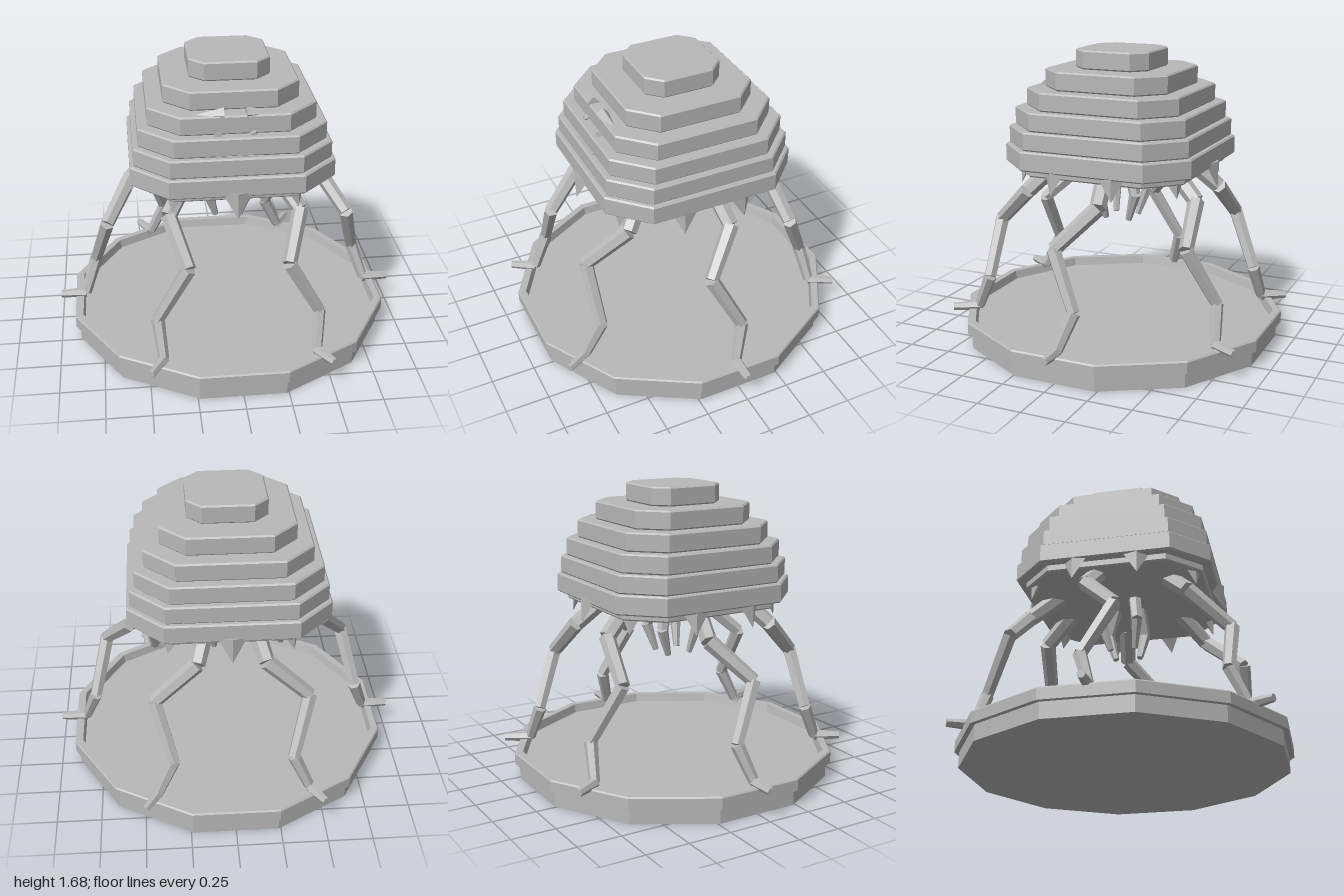
import * as THREE from 'three';

const stone = new THREE.MeshStandardMaterial({ color: 0xb8b8b8, flatShading: true });
stone.name = 'stone grey';

function add(parent, geometry, name) {
  const mesh = new THREE.Mesh(geometry, stone);
  mesh.name = name;
  parent.add(mesh);
  return mesh;
}

// Square slab with cut corners and a fine bevel, from y0 to y1
function slab(half, cut, y0, y1) {
  const b = 0.008, h = half - b, f = half - cut;
  const corners = [[f, -h], [h, -f], [h, f], [f, h], [-f, h], [-h, f], [-h, -f], [-f, -h]];
  const shape = new THREE.Shape(corners.map(([x, y]) => new THREE.Vector2(x, y)));
  const g = new THREE.ExtrudeGeometry(shape, {
    depth: y1 - y0 - 2 * b, bevelEnabled: true, bevelSize: b, bevelThickness: b, bevelSegments: 1,
  });
  g.rotateX(-Math.PI / 2);
  g.translate(0, y0 + b, 0);
  return g;
}

// Tapered rod between two points
function rod(a, b, ra, rb, sides = 6) {
  const dir = b.clone().sub(a);
  const g = new THREE.CylinderGeometry(rb, ra, dir.length(), sides);
  const q = new THREE.Quaternion().setFromUnitVectors(new THREE.Vector3(0, 1, 0), dir.normalize());
  g.applyQuaternion(q);
  const m = a.clone().add(b).multiplyScalar(0.5);
  g.translate(m.x, m.y, m.z);
  return g;
}

// Jointed limb: points are [outward, sideways, height], turned about y, mirrored by side
function limb(parent, name, points, radii, angle, side) {
  const group = new THREE.Group();
  group.name = name;
  const c = Math.cos(angle), s = Math.sin(angle);
  const p = points.map(([r, t, y]) => new THREE.Vector3(side * (r * c + t * s), y, r * s - t * c));
  radii.forEach(([ra, rb], i) => add(group, rod(p[i], p[i + 1], ra, rb), 'segment' + (i + 1)));
  parent.add(group);
}

export function createModel() {
  const model = new THREE.Group();
  model.name = 'walkingHive';

  // Twelve-sided base with a raised rim
  const profile = [[0, 0], [0.917, 0], [0.917, 0.09], [0.944, 0.09], [0.944, 0.152], [0.937, 0.16],
    [0.897, 0.16], [0.887, 0.11], [0, 0.11]].map(([x, y]) => new THREE.Vector2(x, y));
  add(model, new THREE.LatheGeometry(profile, 12, Math.PI / 12), 'base');

  // Stepped body
  add(model, slab(0.51, 0.18, 1.01, 1.06), 'bodyUnderside');
  const tiers = [[0.56, 0.2], [0.54, 0.19], [0.512, 0.185], [0.458, 0.17], [0.37, 0.14], [0.222, 0.083]];
  const levels = [1.05, 1.16, 1.263, 1.368, 1.472, 1.578, 1.684];
  tiers.forEach(([half, cut], i) => add(model, slab(half, cut, levels[i], levels[i + 1]), 'tier' + (i + 1)));

  // Ring of downward teeth around the lower edge
  for (let i = 0; i < 10; i++) {
    const g = new THREE.ConeGeometry(0.08, 0.145, 4);
    g.scale(1, 1, 0.5);
    g.rotateX(Math.PI - 0.25);
    g.translate(0, 1.0, 0.567);
    g.rotateY(i * Math.PI / 5);
    add(model, g, 'tooth');
  }

  // Six legs: three on each side
  const legPoints = [[0.38, 0.07, 1.04], [0.55, 0.1, 0.89], [0.7, -0.09, 0.68],
    [0.78, 0.065, 0.37], [0.85, 0, 0.17], [1.0, 0, 0.168]];
  const legRadii = [[0.05, 0.046], [0.046, 0.04], [0.042, 0.036], [0.038, 0.03], [0.032, 0.022]];
  // Four small feelers hanging below the body
  const feelerPoints = [[0.1, 0, 1.03], [0.15, 0.02, 0.86], [0.1, 0, 0.7]];
  const feelerRadii = [[0.038, 0.034], [0.034, 0.018]];
  for (const side of [1, -1]) {
    const label = side > 0 ? 'left' : 'right';
    [['Front', 1], ['Middle', 0], ['Back', -1]].forEach(([place, k]) =>
      limb(model, label + place + 'Leg', legPoints, legRadii, k * Math.PI / 3, side));
    for (const k of [1, -1]) {
      limb(model, label + (k > 0 ? 'Front' : 'Back') + 'Feeler', feelerPoints, feelerRadii, k * Math.PI / 4, side);
    }

    // Slanted brow and small eye on the front
    const inner = new THREE.Vector3(side * 0.058, 1.475, 0.432);
    const outer = new THREE.Vector3(side * 0.245, 1.463, 0.42);
    add(model, rod(inner, outer, 0.036, 0.001, 4), label + 'Brow');
    const eye = add(model, new THREE.BoxGeometry(0.03, 0.03, 0.03), label + 'Eye');
    eye.position.set(side * 0.095, 1.368, 0.465);
    eye.rotation.z = side * 0.4;
  }

  // Mouth slit
  const mouth = add(model, new THREE.BoxGeometry(0.22, 0.012, 0.02), 'mouth');
  mouth.position.set(0, 1.262, 0.508);

  return model;
}
